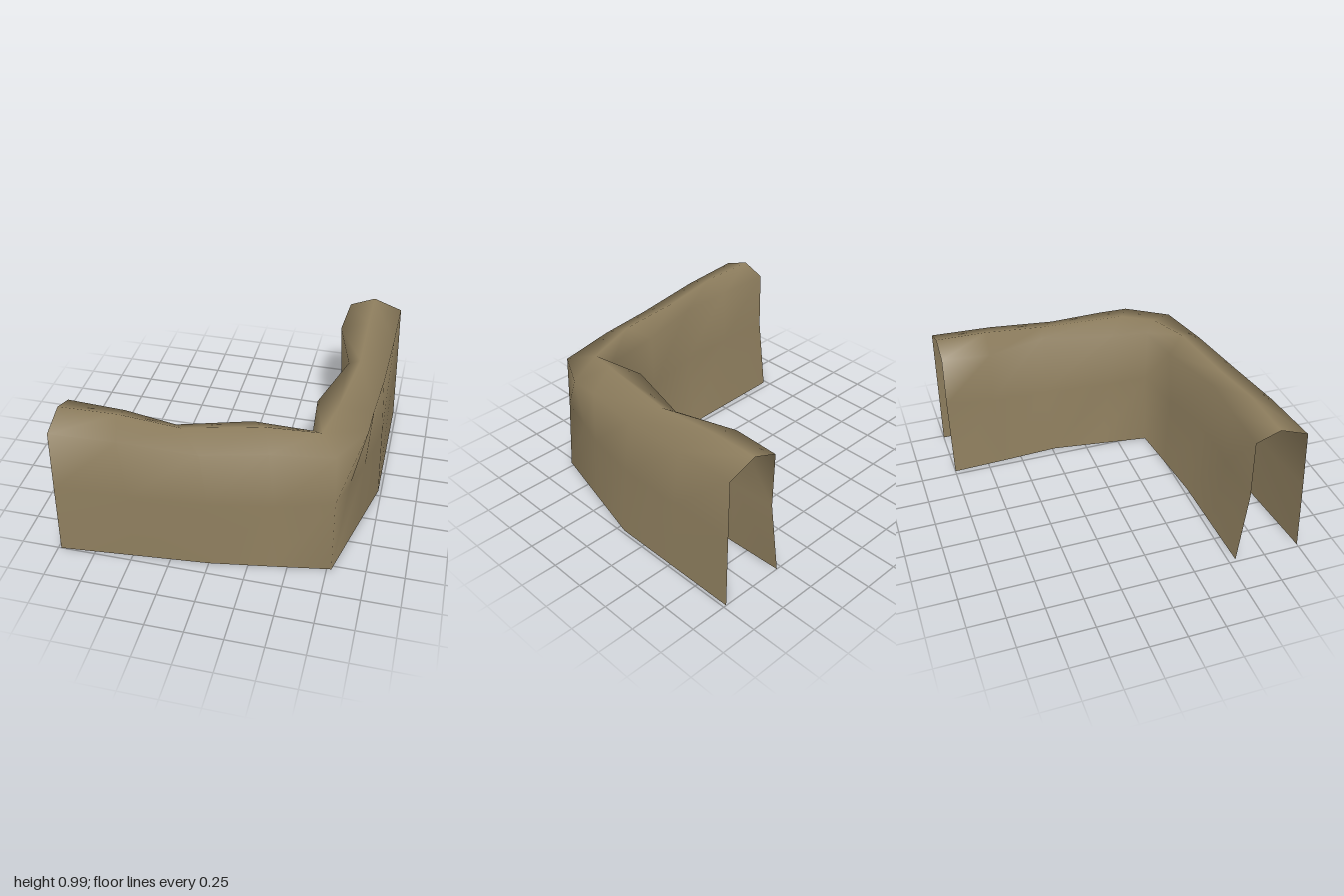
import * as THREE from 'three';
import { mergeVertices } from 'three/addons/utils/BufferGeometryUtils.js';

// Joins neighbouring cross-sections into one smooth skin, skipping collapsed triangles.
function skin(sections) {
  const pos = [];
  const tri = (a, b, c) => {
    const same = (p, q) => p.every((v, k) => v === q[k]);
    if (same(a, b) || same(b, c) || same(a, c)) return;
    pos.push(...a, ...b, ...c);
  };
  for (let i = 0; i + 1 < sections.length; i++) {
    const s = sections[i], t = sections[i + 1];
    for (let j = 0; j + 1 < s.length; j++) {
      tri(s[j], t[j], t[j + 1]);
      tri(s[j], t[j + 1], s[j + 1]);
    }
  }
  let g = new THREE.BufferGeometry();
  g.setAttribute('position', new THREE.Float32BufferAttribute(pos, 3));
  g = mergeVertices(g);
  g.computeVertexNormals();
  return g;
}

// Section order: outer foot, outer middle, outer shoulder, crest, inner shoulder, inner middle, inner foot
function frontArm() {
  return [
    [[-0.98, 0, 1], [-0.98, 0.5, 0.98], [-0.98, 0.92, 0.96], [-0.98, 0.99, 0.77],
      [-0.98, 0.93, 0.61], [-0.98, 0.52, 0.61], [-0.98, 0, 0.55]],
    [[-0.49, 0, 0.955], [-0.5, 0.5, 0.95], [-0.55, 0.91, 0.93], [-0.59, 0.99, 0.76],
      [-0.6, 0.92, 0.62], [-0.6, 0.52, 0.615], [-0.59, 0, 0.54]],
    [[0, 0, 0.91], [0, 0.5, 0.91], [-0.05, 0.87, 0.89], [-0.2, 0.94, 0.74],
      [-0.26, 0.89, 0.65], [-0.23, 0.5, 0.63], [-0.2, 0, 0.53]],
    [[0.4, 0, 0.845], [0.4, 0.5, 0.83], [0.36, 0.89, 0.81], [0.3, 0.97, 0.65],
      [0.2, 0.9, 0.52], [0.18, 0.5, 0.535], [0.15, 0, 0.495]],
  ];
}

// The two bend sections share their foot, crest and inner side
function bend() {
  const foot = [0.78, 0, 0.78];
  const inside = [[0.64, 0.925, 0.57], [0.57, 0.87, 0.49], [0.55, 0.5, 0.48], [0.47, 0, 0.46]];
  return [
    [foot, [0.77, 0.52, 0.74], [0.755, 0.88, 0.735], ...inside],
    [foot, [0.83, 0.5, 0.5], [0.91, 0.9, 0.45], ...inside],
  ];
}

function sideArm() {
  return [
    [[0.88, 0, 0.365], [0.895, 0.5, 0.3], [0.915, 0.9, 0.25], [0.7, 0.965, 0.34],
      [0.55, 0.9, 0.22], [0.55, 0.5, 0.2], [0.52, 0, 0.12]],
    [[0.98, 0, -0.05], [0.96, 0.5, -0.08], [0.935, 0.88, -0.12], [0.76, 0.95, -0.23],
      [0.68, 0.9, -0.26], [0.6, 0.5, -0.28], [0.57, 0, -0.23]],
    [[0.98, 0, -0.52], [0.965, 0.5, -0.54], [0.948, 0.91, -0.58], [0.755, 0.985, -0.65],
      [0.565, 0.91, -0.67], [0.59, 0.52, -0.67], [0.55, 0, -0.62]],
    [[0.98, 0, -1], [0.965, 0.5, -1], [0.95, 0.92, -1], [0.755, 0.99, -1],
      [0.585, 0.92, -1], [0.6, 0.55, -1], [0.535, 0, -1]],
  ];
}

export function createModel() {
  const group = new THREE.Group();
  group.name = 'cornerWall';
  const earth = new THREE.MeshStandardMaterial({ color: 0x8e7e5e, side: THREE.DoubleSide });
  earth.name = 'earthBrown';

  // One continuous hollow shell, open at both ends and underneath
  const wall = new THREE.Mesh(skin([...frontArm(), ...bend(), ...sideArm()]), earth);
  wall.name = 'wallShell';
  group.add(wall);
  return group;
}
